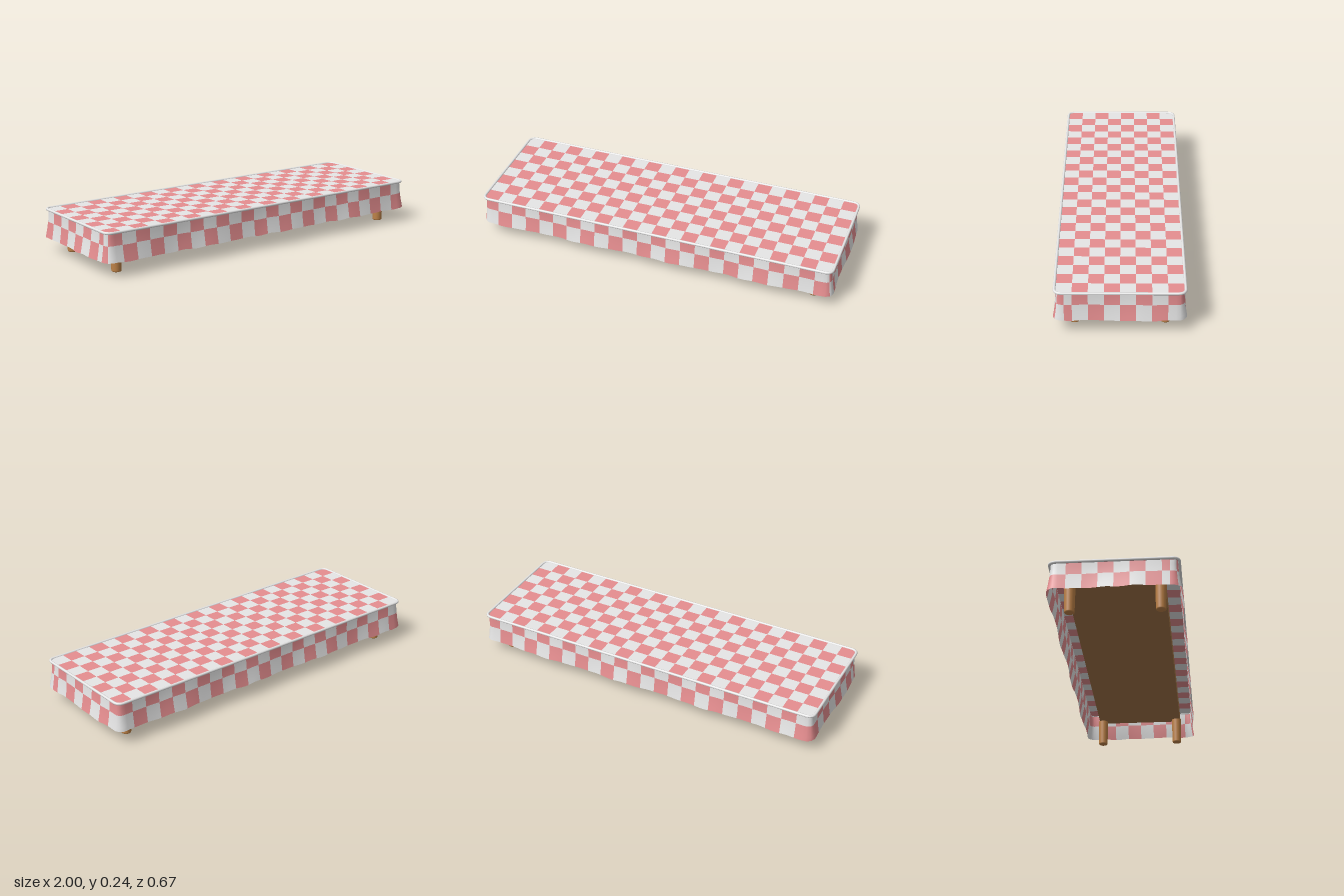
import * as THREE from 'three';

const mat = (name, color, side = THREE.FrontSide) => {
  const m = new THREE.MeshStandardMaterial({ color, side });
  m.name = name;
  return m;
};

const COLS = 24, ROWS = 8, SUB = 4;      // checks along x and z, steps per check
const HX = 0.975, HZ = 0.313, R = 0.025; // half size and corner radius of the top
const isRed = (i, j) => Math.abs(i + j) % 2 === 1;

// Pulls a point of the rectangle into a rounded corner, pushed outward by "out"
function roundPoint(x, z, out = 0) {
  const cx = THREE.MathUtils.clamp(x, -HX + R, HX - R);
  const cz = THREE.MathUtils.clamp(z, -HZ + R, HZ - R);
  const dx = x - cx, dz = z - cz, len = Math.hypot(dx, dz);
  if (len < 1e-6) return [x, z];
  const reach = Math.min(len, R) + out;
  return [cx + dx / len * reach, cz + dz / len * reach];
}

// Indexed geometry with one group of white faces and one of red faces
function twoColour(pos, white, red) {
  const g = new THREE.BufferGeometry();
  g.setAttribute('position', new THREE.Float32BufferAttribute(pos, 3));
  g.setIndex([...white, ...red]);
  g.addGroup(0, white.length, 0);
  g.addGroup(white.length, red.length, 1);
  g.computeVertexNormals();
  return g;
}

// Flat checked top
function clothTop() {
  const pos = [], lists = [[], []], nx = COLS * SUB, nz = ROWS * SUB;
  for (let b = 0; b <= nz; b++) for (let a = 0; a <= nx; a++) {
    const [x, z] = roundPoint(-HX + 2 * HX * a / nx, -HZ + 2 * HZ * b / nz);
    pos.push(x, 0.23, z);
  }
  for (let b = 0; b < nz; b++) for (let a = 0; a < nx; a++) {
    const p = b * (nx + 1) + a, q = p + nx + 1;
    const red = isRed(Math.floor(a / SUB), Math.floor(b / SUB));
    lists[+red].push(p, q, p + 1, p + 1, q, q + 1);
  }
  return twoColour(pos, lists[0], lists[1]);
}

// Walks the edge of the top; the front checks run on a little around the front corners
function edgeLoop() {
  const loop = [], wrap = SUB / 2;
  const side = (n, f) => {
    for (let k = 0; k < n * SUB; k++) loop.push(f(k / (n * SUB), Math.floor(k / SUB), k));
  };
  side(COLS, (t, c) => ({ x: -HX + 2 * HX * t, z: HZ, i: c, j: ROWS - 1 }));
  side(ROWS, (t, c, k) => ({
    x: HX, z: HZ - 2 * HZ * t, i: k < wrap ? COLS : COLS - 1, j: ROWS - 1 - c
  }));
  side(COLS, (t, c) => ({ x: HX - 2 * HX * t, z: -HZ, i: COLS - 1 - c, j: 0 }));
  side(ROWS, (t, c, k) => ({
    x: -HX, z: -HZ + 2 * HZ * t, i: k >= ROWS * SUB - wrap ? -1 : 0, j: c
  }));
  return loop;
}

// Hanging skirt: two bands of checks, flared and gently waved
function clothSkirt() {
  const loop = edgeLoop(), n = loop.length, rows = 7, split = 3;
  const pos = [], lists = [[], []];
  for (let r = 0; r <= rows; r++) {
    const t = r / rows;
    loop.forEach((e, k) => {
      const onEnd = Math.abs(e.x) > HX - 1e-4;
      const wave = onEnd ? Math.cos((e.z + 0.1 * Math.sign(e.x)) * 13)
        : Math.cos((e.x + 0.85) * 2 * Math.PI / 0.485);
      const out = 0.018 * Math.pow(t, 1.7) + 0.005 * t * wave;
      const [x, z] = roundPoint(e.x, e.z, out);
      const ripple = 0.003 * t * Math.sin(k * 0.8) * Math.cos(k * 0.13);
      pos.push(x, 0.224 - 0.147 * t + ripple, z);
    });
  }
  for (let r = 0; r < rows; r++) for (let k = 0; k < n; k++) {
    const a = r * n + k, b = r * n + (k + 1) % n, c = a + n, d = b + n;
    const red = isRed(loop[k].i, loop[k].j) === (r < split);
    lists[+red].push(a, c, b, b, c, d);
  }
  return twoColour(pos, lists[0], lists[1]);
}

// Closed rounded-rectangle path for the rim
function rimPath() {
  const path = new THREE.CurvePath(), x = HX + 0.007, z = HZ + 0.007, r = R + 0.007, y = 0.229;
  const v = (a, b) => new THREE.Vector3(a, y, b);
  const corners = [[1, 1], [1, -1], [-1, -1], [-1, 1]];
  corners.forEach(([sx, sz], k) => {
    const alongX = v(sx * (x - r), sz * z), alongZ = v(sx * x, sz * (z - r));
    const [from, to] = k % 2 ? [alongZ, alongX] : [alongX, alongZ];
    path.add(new THREE.QuadraticBezierCurve3(from, v(sx * (x - 0.003), sz * (z - 0.003)), to));
    const [nx, nz] = corners[(k + 1) % 4];
    const next = k % 2 ? v(nx * (x - r), nz * z) : v(nx * x, nz * (z - r));
    path.add(new THREE.LineCurve3(to, next));
  });
  return path;
}

export function createModel() {
  const group = new THREE.Group();
  const white = mat('clothWhite', 0xe6e6e6, THREE.DoubleSide);
  const red = mat('clothRed', 0xe68e90, THREE.DoubleSide);
  const wood = mat('legWood', 0xbf8348);
  const boardWood = mat('boardWood', 0xa47648);

  const add = (name, geometry, material, x = 0, y = 0, z = 0) => {
    const mesh = new THREE.Mesh(geometry, material);
    mesh.name = name;
    mesh.position.set(x, y, z);
    group.add(mesh);
  };

  add('clothTop', clothTop(), [white, red]);
  add('clothSkirt', clothSkirt(), [white, red]);
  add('clothRim', new THREE.TubeGeometry(rimPath(), 400, 0.0072, 10, true), white);

  // Board under the cloth
  add('board', new THREE.BoxGeometry(1.8, 0.07, 0.49), boardWood, 0, 0.182, 0);

  // Four tapered legs with softened feet
  const profile = [[0, 0], [0.021, 0], [0.0245, 0.002], [0.026, 0.007], [0.0285, 0.15]]
    .map(([r, y]) => new THREE.Vector2(r, y));
  const legGeometry = new THREE.LatheGeometry(profile, 24);
  for (const sx of [-1, 1]) for (const sz of [-1, 1]) {
    const name = (sz > 0 ? 'front' : 'back') + (sx > 0 ? 'Left' : 'Right') + 'Leg';
    add(name, legGeometry, wood, sx * 0.877, 0, sz * 0.225);
  }
  return group;
}
